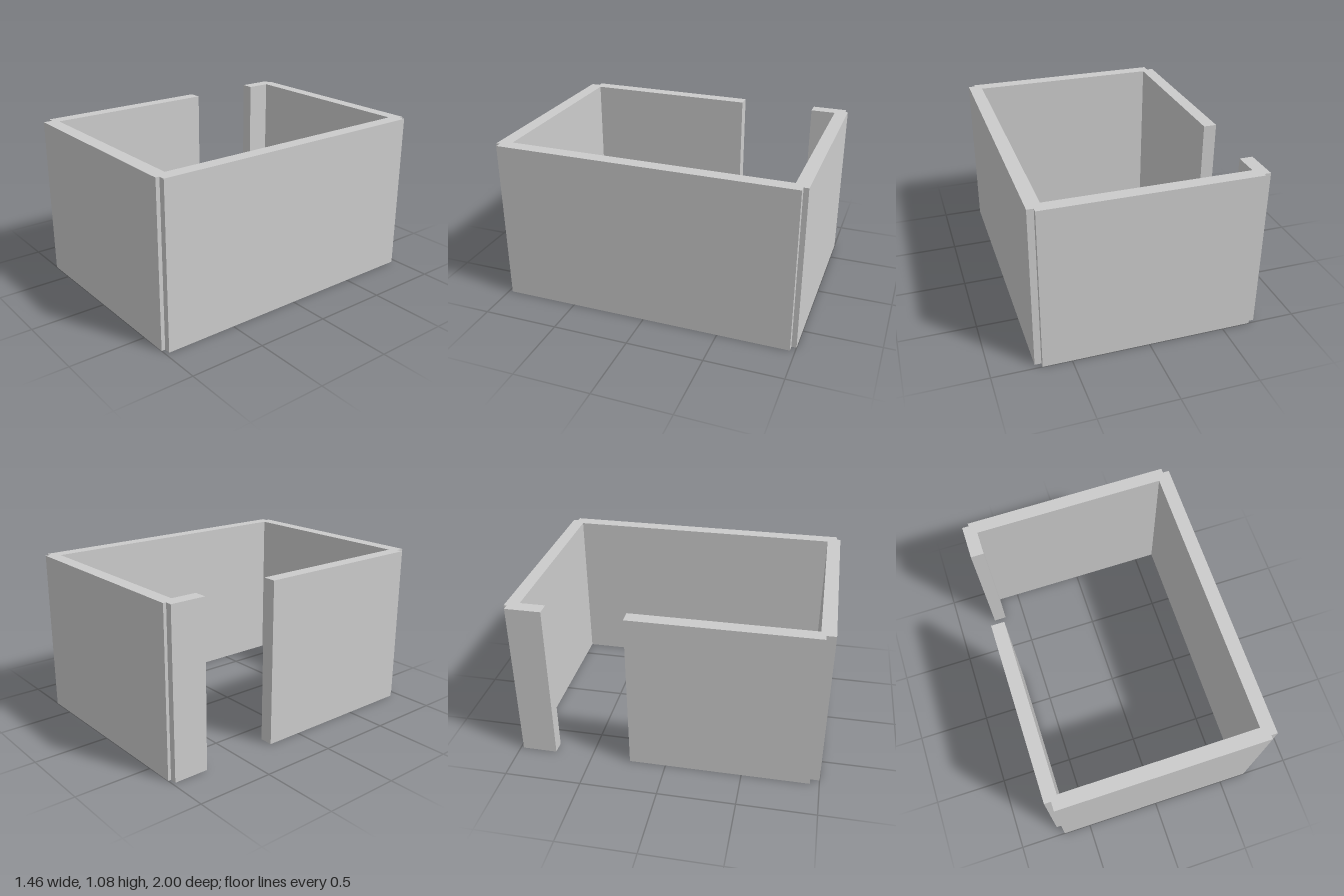
import * as THREE from 'three';

const HEIGHT = 1.075;

// Plan of the walls as [x, z]: one C-shaped run with a doorway on the -x side
// and a small step where each pair of walls meets.
const OUTER = [
  [-0.73, -0.24], [-0.73, 0.94],                 // long piece beside the doorway
  [-0.687, 0.94], [-0.687, 1], [0.685, 1],       // front wall
  [0.685, 0.975], [0.727, 0.975], [0.727, -0.968], // full side wall
  [0.685, -0.968], [0.685, -1], [-0.687, -1],    // back wall
  [-0.687, -0.98], [-0.73, -0.98], [-0.73, -0.75], // short piece beside the doorway
];
const INNER = [
  [-0.643, -0.75], [-0.643, -0.914], [0.638, -0.914],
  [0.638, 0.91], [-0.643, 0.91], [-0.643, -0.24],
];

export function createModel() {
  const group = new THREE.Group();
  group.name = 'roomWithDoorway';

  const plan = new THREE.Shape([...OUTER, ...INNER].map(([x, z]) => new THREE.Vector2(x, z)));
  const geometry = new THREE.ExtrudeGeometry(plan, { depth: HEIGHT, bevelEnabled: false });
  // Stand the plan upright: shape y becomes z, depth runs down from the top
  geometry.rotateX(Math.PI / 2).translate(0, HEIGHT, 0);

  const walls = new THREE.Mesh(geometry, new THREE.MeshStandardMaterial({ color: 0xcccccc }));
  walls.name = 'walls';
  group.add(walls);
  return group;
}
